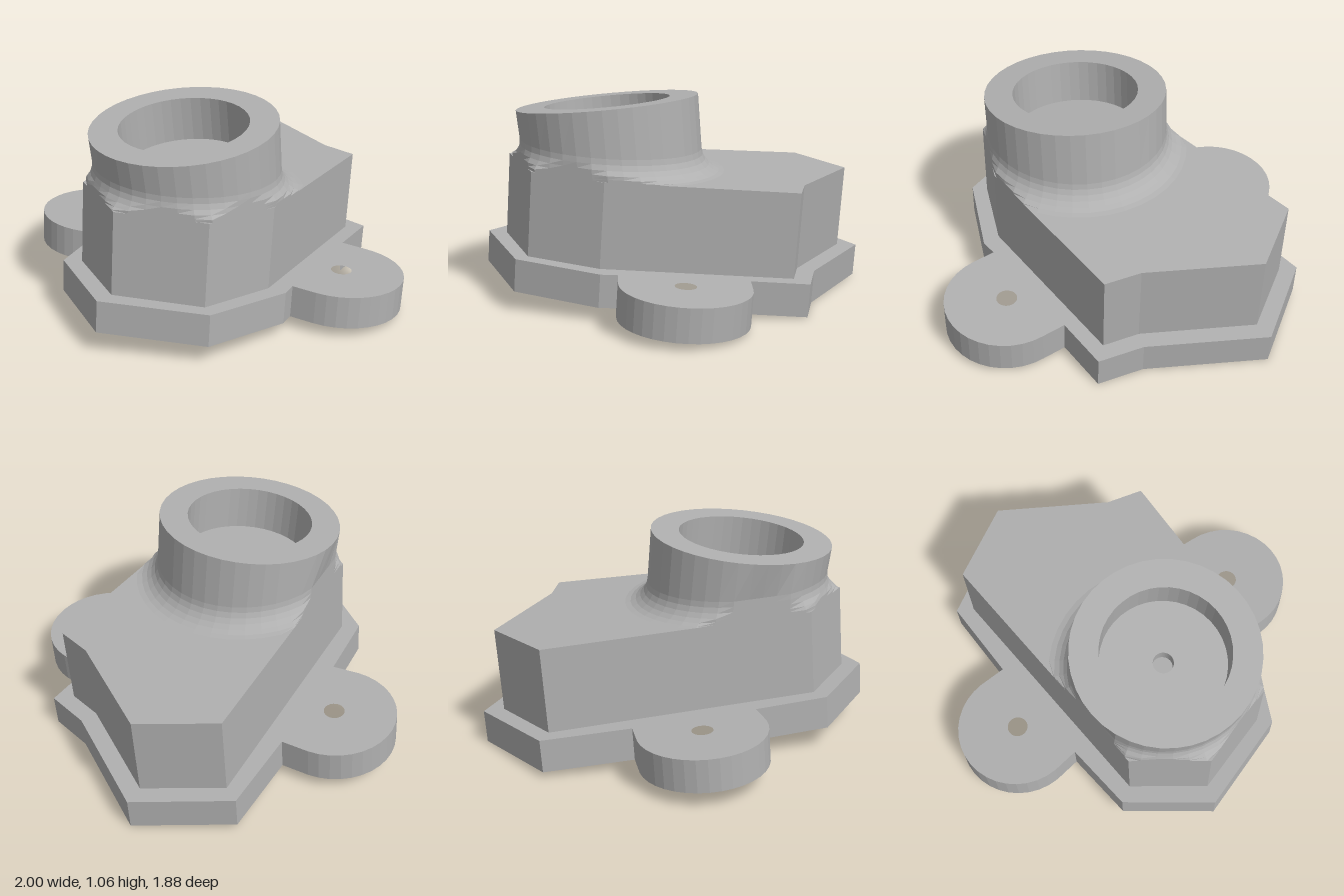
import * as THREE from 'three';

const TILT = 0.0668;         // slope of the base plate
const LEAN = 0.16;           // lean of the socket relative to the plate
const PLATE = 0.17, BODY_TOP = 0.607;
const SOCKET_X = 0.128, HOLE_Z = 0.179, HOLE_R = 0.054;
const SEGMENTS = 40;

// Outlines as [x, z]
const bodyOutline = [
  [-0.508, -0.847], [0.09, -0.745], [0.283, -0.77], [0.617, 0.137],
  [0.597, 0.535], [0.235, 0.827], [-0.166, 0.725], [-0.77, -0.51],
];
const ears = [[-0.675, 0.247], [0.675, -0.328]];

function earArc([x, z], from) {
  return Array.from({ length: 19 }, (_, i) => {
    const a = from + (i / 18) * Math.PI;
    return [x + 0.325 * Math.cos(a), z + 0.325 * Math.sin(a)];
  });
}

const plateOutline = [
  [0.25, 0.925], [-0.225, 0.8], [-0.405, 0.465],
  ...earArc(ears[0], 1.107),
  [-0.685, -0.105], [-0.866, -0.524], [-0.547, -0.945], [0.09, -0.835],
  [0.335, -0.865], [0.435, -0.588],
  ...earArc(ears[1], -1.94),
  [0.67, 0.02], [0.705, 0.1], [0.675, 0.567],
];

// Upright slab with round holes; the drain hole follows the socket's lean
function slab(outline, holes, bottom, top) {
  const shape = new THREE.Shape(outline.map(([x, z]) => new THREE.Vector2(x, -z)));
  for (const [x, z] of [...holes, [SOCKET_X, HOLE_Z]]) {
    shape.holes.push(new THREE.Path().absarc(x, -z, HOLE_R, 0, Math.PI * 2, true));
  }
  const geo = new THREE.ExtrudeGeometry(shape, { depth: top - bottom, bevelEnabled: false, curveSegments: 16 });
  geo.rotateX(-Math.PI / 2).translate(0, bottom, 0);
  const p = geo.attributes.position;
  for (let i = 0; i < p.count; i++) {
    if (Math.hypot(p.getX(i) - SOCKET_X, p.getZ(i) - HOLE_Z) < 0.07) {
      p.setZ(i, p.getZ(i) + p.getY(i) * Math.tan(LEAN));
    }
  }
  geo.computeVertexNormals();
  return geo;
}

// Distance from (x, z) along a direction to the body walls
function wallDistance(x, z, dx, dz) {
  let best = Infinity;
  bodyOutline.forEach(([ax, az], i) => {
    const [bx, bz] = bodyOutline[(i + 1) % bodyOutline.length];
    const ex = bx - ax, ez = bz - az;
    const det = dx * ez - dz * ex;
    if (Math.abs(det) < 1e-9) return;
    const t = ((ax - x) * ez - (az - z) * ex) / det;
    const s = ((ax - x) * dz - (az - z) * dx) / det;
    if (t > 0 && s >= 0 && s <= 1) best = Math.min(best, t);
  });
  return best;
}

// Outer socket wall: leaning rim ring, then fillet rings trimmed by the body walls
function socketWall(rim, radius, fillet) {
  const rings = 8, pos = [], index = [];
  for (let i = 0; i < rings; i++) {
    const t = ((i - 1) / (rings - 2)) * Math.PI / 2;
    const h = fillet * (1 - Math.sin(t));
    const cz = HOLE_Z + (BODY_TOP + h) * Math.tan(LEAN);
    for (let j = 0; j < SEGMENTS; j++) {
      const a = (j / SEGMENTS) * Math.PI * 2, dx = Math.sin(a), dz = Math.cos(a);
      if (i === 0) {
        const v = new THREE.Vector3(radius * dx, 0, radius * dz);
        v.applyAxisAngle(new THREE.Vector3(1, 0, 0), LEAN).add(rim);
        pos.push(v.x, v.y, v.z);
      } else {
        const r = Math.min(radius + fillet * (1 - Math.cos(t)), wallDistance(SOCKET_X, cz, dx, dz));
        pos.push(SOCKET_X + r * dx, BODY_TOP + h, cz + r * dz);
      }
      if (i < rings - 1) {
        const k = (j + 1) % SEGMENTS;
        const a0 = i * SEGMENTS + j, b0 = i * SEGMENTS + k;
        index.push(a0, a0 + SEGMENTS, b0, b0, a0 + SEGMENTS, b0 + SEGMENTS);
      }
    }
  }
  const geo = new THREE.BufferGeometry();
  geo.setAttribute('position', new THREE.Float32BufferAttribute(pos, 3));
  geo.setIndex(index);
  geo.computeVertexNormals();
  return geo;
}

export function createModel() {
  const grey = new THREE.MeshStandardMaterial({ color: 0xb0b0b0, flatShading: true });
  grey.name = 'plain grey';

  const model = new THREE.Group();
  model.name = 'mountingBracket';
  const tilted = new THREE.Group();
  tilted.name = 'tiltedBracket';
  tilted.position.set(0, 0.0635, 0.011);
  tilted.rotation.x = -TILT;
  model.add(tilted);

  const add = (name, geo) => {
    const mesh = new THREE.Mesh(geo, grey);
    mesh.name = name;
    tilted.add(mesh);
    return mesh;
  };

  // Plate with two screw ears, and the solid body on it
  add('basePlate', slab(plateOutline, ears, 0, PLATE));
  add('body', slab(bodyOutline, [], PLATE, BODY_TOP));

  // Socket: filleted outer wall, then rim, bore, floor and drain hole
  const rim = new THREE.Vector3(SOCKET_X, 0.928, 0.329);
  add('socketWall', socketWall(rim, 0.478, 0.11));
  const profile = [[0.478, 0], [0.33, 0], [0.33, -0.235], [HOLE_R, -0.235], [HOLE_R, -0.33]];
  const bore = add('socketBore', new THREE.LatheGeometry(
    profile.map(([r, y]) => new THREE.Vector2(r, y)), SEGMENTS));
  bore.position.copy(rim);
  bore.rotation.x = LEAN;

  return model;
}
